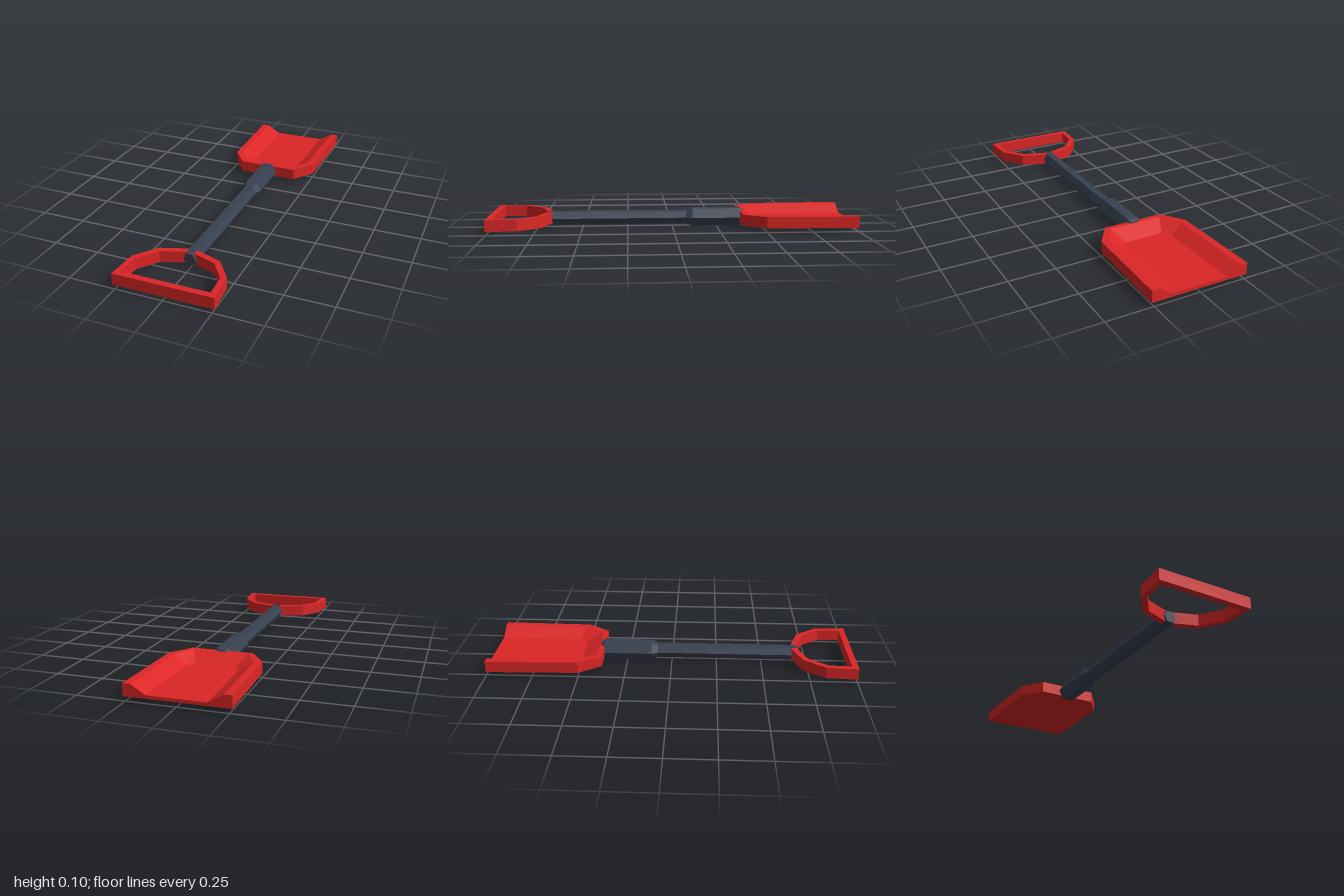
import * as THREE from 'three';

const red = new THREE.MeshStandardMaterial({ name: 'redPlastic', color: 0xdc2626, flatShading: true });
const slate = new THREE.MeshStandardMaterial({ name: 'slateGrip', color: 0x374151, flatShading: true });
const BOTTOM = 0.023, TOP = 0.085, AXIS = 0.05;

// Turns a left half outline of [x, z] into a full one, mirrored across x = 0
const mirror = half => [...half, ...half.map(([x, z]) => [-x, z]).reverse()];

function addMesh(group, name, geometry, material) {
  const mesh = new THREE.Mesh(geometry, material);
  mesh.name = name;
  group.add(mesh);
  return mesh;
}

// Scoop: flat underside, low rim and sloping inner walls, open at the tip
function bladeGeometry() {
  const outer = mirror([[-0.262, -1], [-0.25, -0.5], [-0.165, -0.38]]);
  const rim = mirror([[-0.222, -1], [-0.213, -0.515], [-0.147, -0.405]]);
  const floor = mirror([[-0.148, -1], [-0.14, -0.54], [-0.105, -0.495]]);
  const loops = [[outer, BOTTOM], [outer, TOP], [rim, TOP], [floor, 0.04]]
    .map(([loop, y]) => loop.map(([x, z]) => [x, y, z]));
  const [B, T, R, F] = loops;
  const pos = [];
  const tri = (a, b, c) => pos.push(...a, ...b, ...c);
  const quad = (a, b, c, d) => { tri(a, b, c); tri(a, c, d); };

  // Side wall, rim and inner slope
  for (let k = 0; k < 3; k++) {
    for (let i = 0; i < 5; i++) {
      quad(loops[k][i], loops[k][i + 1], loops[k + 1][i + 1], loops[k + 1][i]);
    }
  }
  // Floor and underside
  for (let i = 1; i < 5; i++) {
    tri(F[0], F[i], F[i + 1]);
    tri(B[0], B[i + 1], B[i]);
  }
  // Tip edge
  quad(B[0], F[0], F[5], B[5]);
  quad(B[0], T[0], R[0], F[0]);
  quad(B[5], F[5], R[5], T[5]);

  const g = new THREE.BufferGeometry();
  g.setAttribute('position', new THREE.Float32BufferAttribute(pos, 3));
  g.computeVertexNormals();
  return g;
}

// D-shaped handle frame
function handleGeometry() {
  const toPoints = half => mirror(half).map(([x, z]) => new THREE.Vector2(x, z));
  const shape = new THREE.Shape(toPoints([[-0.262, 1], [-0.25, 0.83], [-0.165, 0.715], [-0.03, 0.668]]));
  shape.holes.push(new THREE.Path(toPoints([[-0.23, 0.967], [-0.223, 0.845], [-0.147, 0.742], [-0.025, 0.7]])));
  return new THREE.ExtrudeGeometry(shape, { depth: TOP - BOTTOM, bevelEnabled: false }).rotateX(Math.PI / 2);
}

// Six-sided bar along z from [radius, z] points, flat side up
function hexBar(profile) {
  const points = profile.map(([r, z]) => new THREE.Vector2(r, z));
  return new THREE.LatheGeometry(points, 6, Math.PI / 2).rotateX(Math.PI / 2);
}

export function createModel() {
  const model = new THREE.Group();
  model.name = 'shovel';
  addMesh(model, 'blade', bladeGeometry(), red);
  addMesh(model, 'handle', handleGeometry(), red).position.y = TOP;
  addMesh(model, 'shaft', hexBar([[0, -0.2], [0.041, -0.2], [0.041, 0.695], [0.034, 0.708], [0, 0.708]]), slate)
    .position.y = AXIS;
  addMesh(model, 'socket', hexBar([
    [0, -0.4], [0.045, -0.4], [0.057, -0.378], [0.057, -0.113], [0.041, -0.08], [0, -0.08],
  ]), slate).position.y = AXIS;
  return model;
}
